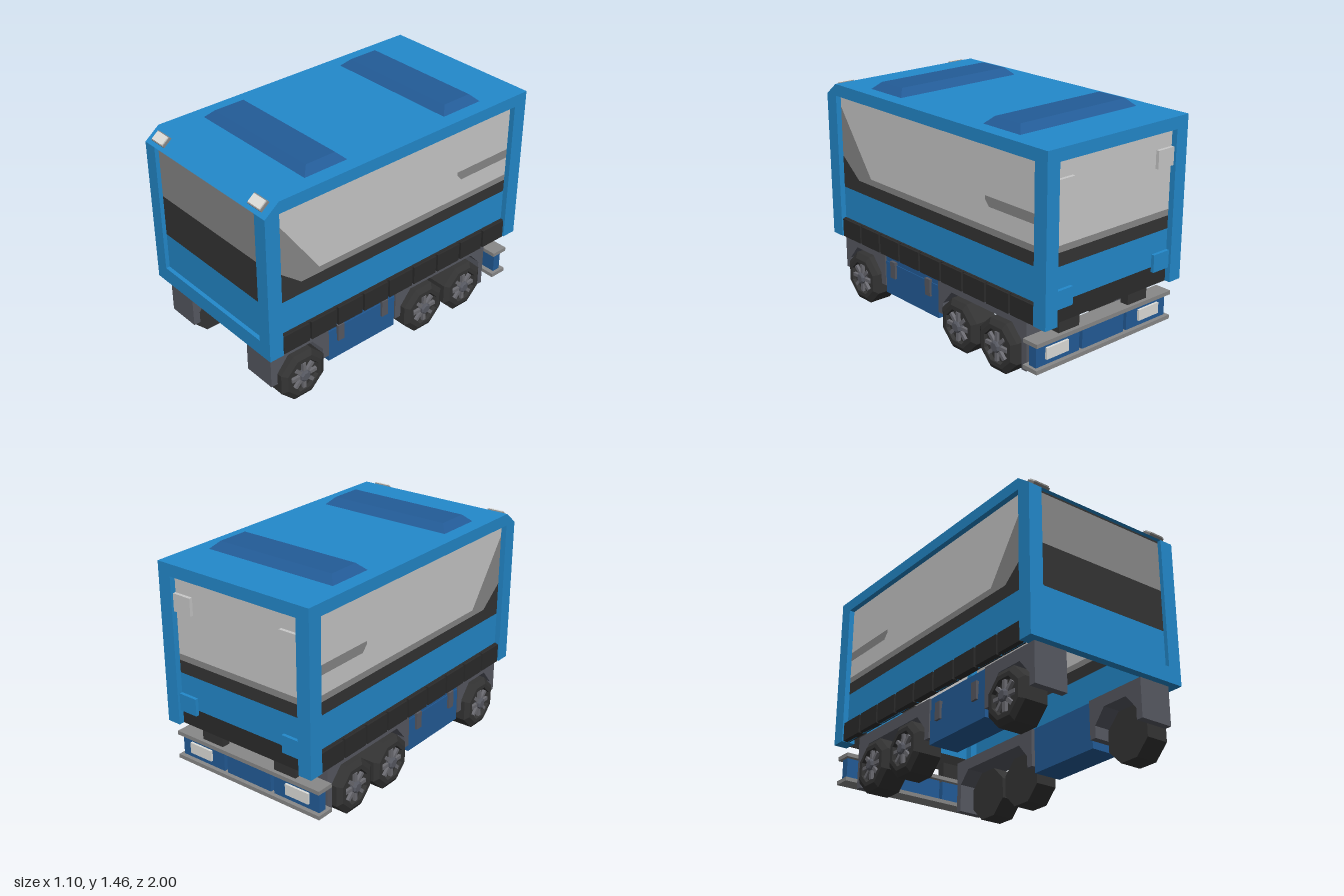
import * as THREE from 'three';

const paint = (name, color) => new THREE.MeshStandardMaterial({ name, color });

export function createModel() {
  const root = new THREE.Group();
  root.name = 'trailer';

  const blue = paint('body blue', 0x2389cb);
  const navy = paint('dark blue', 0x235c98);
  const light = paint('light grey', 0xc8c8c8);
  const mid = paint('mid grey', 0x888888);
  const dark = paint('charcoal', 0x343434);
  const black = paint('rubber black', 0x2b2b2b);
  const steel = paint('chassis grey', 0x575962);
  const rimGrey = paint('rim grey', 0x6c6c72);
  const lens = paint('lamp white', 0xdededa);

  function add(name, geometry, material, parent = root) {
    const mesh = new THREE.Mesh(geometry, material);
    mesh.name = name;
    parent.add(mesh);
    return mesh;
  }

  // Box given by its limits on each axis
  function box(name, mat, x0, x1, y0, y1, z0, z1, parent = root) {
    const m = add(name, new THREE.BoxGeometry(x1 - x0, y1 - y0, z1 - z0), mat, parent);
    m.position.set((x0 + x1) / 2, (y0 + y1) / 2, (z0 + z1) / 2);
    return m;
  }

  // Box on the left side (+x) and its mirror image
  function boxPair(name, mat, x0, x1, ...rest) {
    box(name, mat, x0, x1, ...rest);
    box(name, mat, -x1, -x0, ...rest);
  }

  // Outline in (z, y), extruded across x from x0 to x1
  function slab(name, mat, x0, x1, points) {
    const shape = new THREE.Shape(points.map(([z, y]) => new THREE.Vector2(z, y)));
    const geometry = new THREE.ExtrudeGeometry(shape, { depth: x1 - x0, bevelEnabled: false });
    geometry.rotateY(-Math.PI / 2);
    add(name, geometry, mat).position.x = x1;
  }

  function slabPair(name, mat, x0, x1, points) {
    slab(name, mat, x0, x1, points);
    slab(name, mat, -x1, -x0, points);
  }

  // Faceted solid of revolution about x
  function turned(profile) {
    const pts = profile.map(([r, x]) => new THREE.Vector2(r, x));
    const g = new THREE.LatheGeometry(pts, 8, Math.PI / 8).toNonIndexed();
    g.computeVertexNormals();
    return g.rotateZ(-Math.PI / 2);
  }

  // Body frame: roof with chamfered front edge, corner posts, front sill
  slab('roof', blue, -0.55, 0.55, [[-1, 1.345], [1, 1.345], [0.905, 1.42], [-1, 1.42]]);
  boxPair('frontPost', blue, 0.46, 0.55, 0.41, 1.345, 0.905, 1);
  boxPair('rearPost', blue, 0.46, 0.55, 0.41, 1.345, -1, -0.905);
  box('frontSill', blue, -0.46, 0.46, 0.41, 0.51, 0.95, 1);

  // Side walls, painted in bands
  const a = 0.507, b = 0.515, e = 0.905;
  slabPair('sideUpperPanel', light, a, b, [
    [-e, 1.345], [-e, 1.04], [-0.47, 1.04], [-0.47, 1.02], [-0.505, 0.98],
    [-e, 0.98], [-e, 0.86], [0.61, 0.86], [e, 1.27], [e, 1.345]]);
  slabPair('sideShortStripe', mid, a, b,
    [[-e, 1.04], [-e, 0.98], [-0.505, 0.98], [-0.47, 1.02], [-0.47, 1.04]]);
  slabPair('sideGreyBand', mid, a, b,
    [[e, 1.27], [0.61, 0.86], [-e, 0.86], [-e, 0.82], [0.74, 0.82], [e, 0.95]]);
  slabPair('sideDarkBand', dark, a, b,
    [[e, 0.95], [0.74, 0.82], [-e, 0.82], [-e, 0.74], [e, 0.74]]);
  slabPair('sideLowerPanel', blue, a, b, [[-e, 0.41], [e, 0.41], [e, 0.74], [-e, 0.74]]);

  // End walls, painted in bands
  const wall = (name, z, bands) => bands.forEach(([mat, y0, y1]) =>
    box(name, mat, -0.46, 0.46, y0, y1, z - 0.004, z + 0.004));
  wall('frontWall', 0.97, [[blue, 0.51, 0.745], [dark, 0.745, 1.01], [mid, 1.01, 1.333], [dark, 1.333, 1.345]]);
  wall('rearWall', -0.96, [[black, 0.41, 0.53], [blue, 0.53, 0.74], [dark, 0.74, 0.82],
    [mid, 0.82, 0.86], [light, 0.86, 1.345]]);

  // Rear door hinges
  boxPair('upperHinge', light, 0.33, 0.46, 1.13, 1.24, -0.985, -0.96);
  boxPair('lowerHinge', blue, 0.33, 0.46, 0.5, 0.61, -0.985, -0.96);

  // Row of rubber blocks along each lower side
  const pitch = 1.81 / 9;
  for (let i = 0; i < 9; i++) {
    const z = -e + i * pitch;
    boxPair('sideBumperBlock', black, 0.5, 0.545, 0.41, 0.53, z + 0.008, z + pitch - 0.008);
  }
  boxPair('sideBumperBacking', black, 0.5, 0.53, 0.412, 0.532, -e, e);

  // Roof vents: boxes with the top drawn in
  for (const z of [0.505, -0.54]) {
    const g = new THREE.BoxGeometry(0.91, 0.045, 0.3);
    const p = g.attributes.position;
    for (let i = 0; i < p.count; i++) {
      if (p.getY(i) > 0) p.setXYZ(i, p.getX(i) * 0.9, p.getY(i), p.getZ(i) * 0.68);
    }
    g.computeVertexNormals();
    add('roofVent', g, navy).position.set(0, 1.4425, z);
  }

  // Marker lamps on the front chamfer
  for (const s of [1, -1]) {
    const lamp = new THREE.Group();
    lamp.name = 'frontLamp';
    box('lampBase', mid, -0.056, 0.056, -0.034, 0.034, -0.01, 0.014, lamp);
    box('lampLens', lens, -0.05, 0.05, -0.028, 0.028, 0.014, 0.022, lamp);
    lamp.position.set(s * 0.445, 1.384, 0.954);
    lamp.rotation.x = -0.9;
    root.add(lamp);
  }

  // Mudguards with wheel arches
  slabPair('frontMudguard', steel, 0.27, 0.49, [
    [0.955, 0.41], [0.955, 0.165], [0.91, 0.165], [0.91, 0.24], [0.83, 0.335],
    [0.65, 0.335], [0.57, 0.24], [0.57, 0.165], [0.525, 0.165], [0.525, 0.41]]);
  slabPair('rearMudguard', steel, 0.27, 0.49, [
    [-0.01, 0.41], [-0.01, 0.165], [-0.055, 0.165], [-0.055, 0.24], [-0.135, 0.335],
    [-0.67, 0.335], [-0.75, 0.25], [-0.75, 0.07], [-0.79, 0.07], [-0.79, 0.41]]);

  // Storage boxes between the wheels, with straps
  boxPair('storageBox', navy, 0.29, 0.485, 0.12, 0.335, -0.005, 0.522);
  boxPair('storageLid', navy, 0.29, 0.48, 0.335, 0.41, -0.005, 0.522);
  for (const z of [0.435, 0.085]) {
    boxPair('boxStrap', steel, 0.475, 0.5, 0.245, 0.355, z - 0.024, z + 0.024);
  }

  // Wheels
  const tyre = turned([[0, 0.36], [0.171, 0.36], [0.171, 0.508], [0.135, 0.53],
    [0.108, 0.53], [0.1, 0.508], [0, 0.508]]);
  const hub = turned([[0.04, 0.5], [0.036, 0.538], [0.026, 0.545], [0, 0.545]]);
  const spoke = new THREE.BoxGeometry(0.022, 0.06, 0.022);
  for (const s of [1, -1]) {
    for (const z of [0.74, -0.23, -0.575]) {
      const wheel = new THREE.Group();
      wheel.name = 'wheel';
      add('tyre', tyre, dark, wheel);
      add('hub', hub, steel, wheel);
      for (let i = 0; i < 8; i++) {
        const t = i * Math.PI / 4;
        const m = add('spoke', spoke, rimGrey, wheel);
        m.position.set(0.517, 0.062 * Math.cos(t), 0.062 * Math.sin(t));
        m.rotation.x = t;
      }
      wheel.position.set(0, 0.158, z);
      if (s < 0) wheel.rotation.y = Math.PI;
      root.add(wheel);
    }
  }

  // Rear bumper: rails, blue infill, lamps and brackets
  box('bumperUpperRail', mid, -0.55, 0.55, 0.285, 0.31, -0.937, -0.825);
  box('bumperLowerRail', mid, -0.55, 0.55, 0.125, 0.15, -0.937, -0.825);
  box('bumperCentre', navy, -0.17, 0.17, 0.15, 0.285, -0.91, -0.855);
  boxPair('bumperEnd', navy, 0.195, 0.53, 0.15, 0.285, -0.91, -0.855);
  boxPair('tailLamp', lens, 0.29, 0.46, 0.185, 0.255, -0.925, -0.91);
  boxPair('bumperBracket', dark, 0.2, 0.36, 0.31, 0.42, -0.912, -0.855);

  return root;
}
